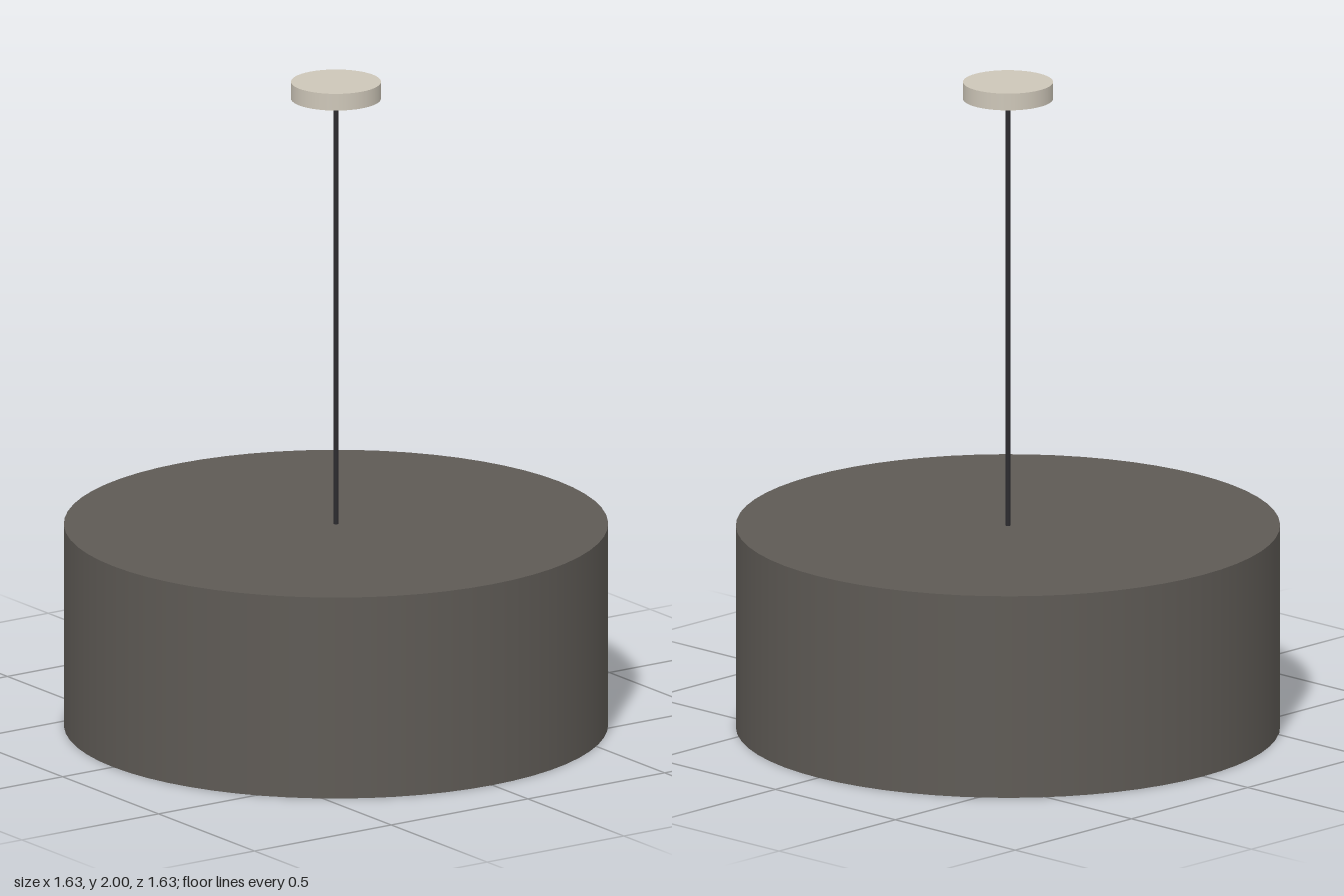
import * as THREE from 'three';

export function createModel() {
  const group = new THREE.Group();
  group.name = 'pendantLamp';

  const fabric = new THREE.MeshStandardMaterial({ color: 0x5e5a55 });
  fabric.name = 'dark taupe fabric';
  const cream = new THREE.MeshStandardMaterial({ color: 0xcdc6b8 });
  cream.name = 'warm cream';
  const black = new THREE.MeshStandardMaterial({ color: 0x2b2a2e });
  black.name = 'cord black';

  const add = (name, geometry, material, y = 0) => {
    const mesh = new THREE.Mesh(geometry, material);
    mesh.name = name;
    mesh.position.y = y;
    group.add(mesh);
  };
  // Solid cylinder standing between two heights
  const rod = (name, radius, y0, y1, material, sides) =>
    add(name, new THREE.CylinderGeometry(radius, radius, y1 - y0, sides), material, (y0 + y1) / 2);

  // Drum shade: closed top, thin wall, open underneath
  const R = 0.815, H = 0.625, wall = 0.012;
  const wallGeometry = (radius) => new THREE.CylinderGeometry(radius, radius, H, 64, 1, true);
  add('shadeOuterWall', wallGeometry(R), fabric, H / 2);
  const inner = wallGeometry(R - wall);
  inner.scale(-1, 1, 1); // mirrored, so the corner order is turned to face inward
  const index = inner.index.array;
  const normals = inner.attributes.normal;
  for (let i = 0; i < normals.count; i++) {
    normals.setXYZ(i, -inner.attributes.position.getX(i), 0, -inner.attributes.position.getZ(i));
  }
  inner.normalizeNormals();
  // Make every triangle agree with its inward normal
  const p = [0, 1, 2].map(() => new THREE.Vector3());
  for (let i = 0; i < index.length; i += 3) {
    p.forEach((v, k) => v.fromBufferAttribute(inner.attributes.position, index[i + k]));
    const face = p[1].clone().sub(p[0]).cross(p[2].clone().sub(p[0]));
    if (face.x * p[0].x + face.z * p[0].z > 0) {
      [index[i + 1], index[i + 2]] = [index[i + 2], index[i + 1]];
    }
  }
  add('shadeInnerWall', inner, fabric, H / 2);
  add('shadeRim', new THREE.RingGeometry(R - wall, R, 64).rotateX(Math.PI / 2), fabric);
  rod('shadeTop', R, H - 0.012, H, fabric, 64);

  // Diffuser disc set slightly inside the lower rim
  rod('diffuser', 0.78, 0.016, 0.036, cream, 64);

  // Hanging cord and ceiling canopy
  rod('cord', 0.008, H - 0.005, 1.955, black, 12);
  rod('canopy', 0.135, 1.948, 2, cream, 48);

  return group;
}
